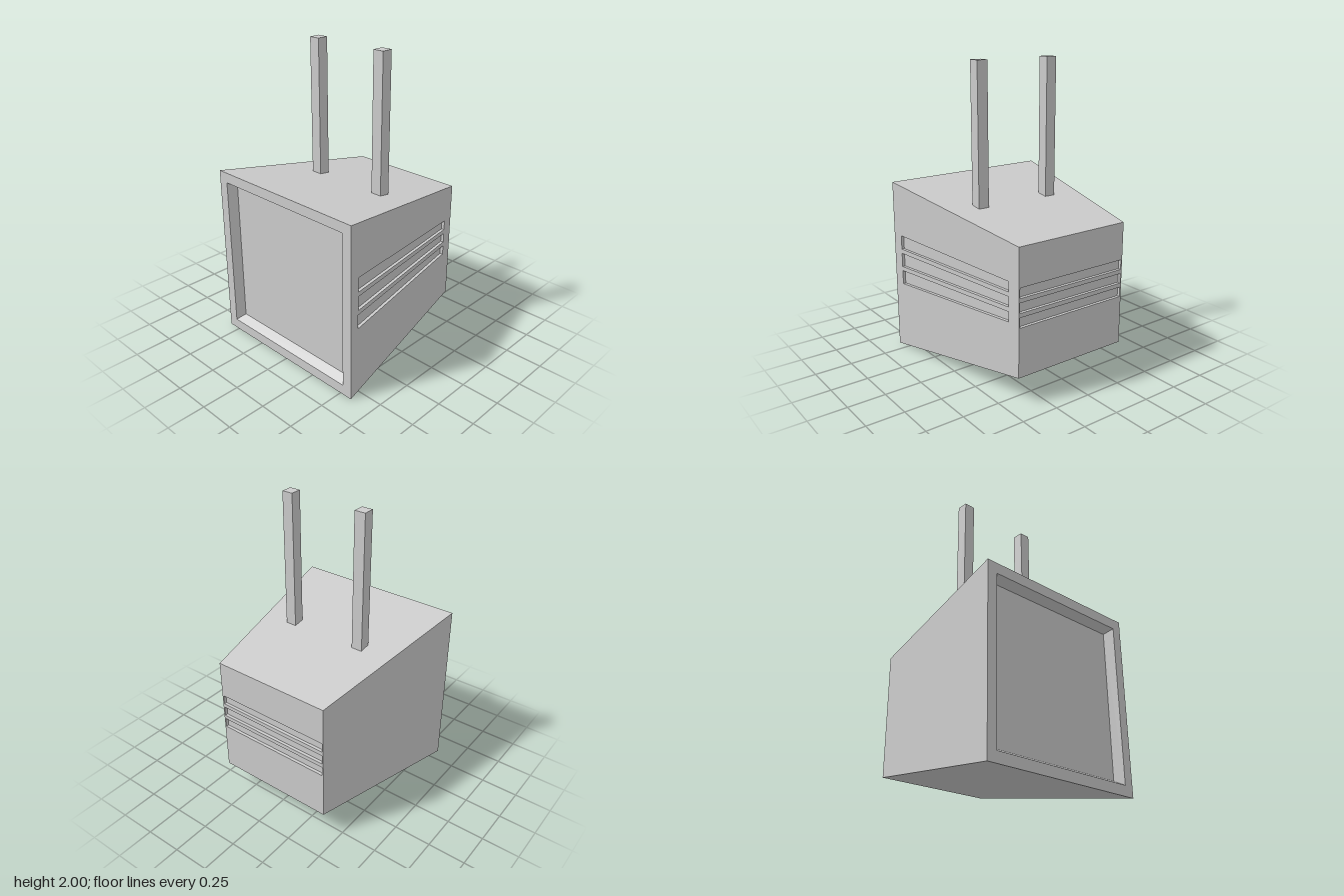
import * as THREE from 'three';
import { mergeGeometries } from 'three/addons/utils/BufferGeometryUtils.js';

const V = (x, y, z) => new THREE.Vector3(x, y, z);
const F = 0.588, B = 0.412;            // half widths of the front and back ends
const MID = 0.588;                     // height of the body's centre line
const sideX = z => (F + B) / 2 + (z / F) * (F - B) / 2;

// Four-cornered face, corners counter-clockwise seen from outside
function quad(a, b, c, d) {
  const g = new THREE.BufferGeometry().setFromPoints([a, b, c, a, c, d]);
  g.computeVertexNormals();
  return g;
}

// Flat panel with sunken pockets; each pocket has corners, a depth and an inward taper
function panel(corners, pockets = []) {
  const [o, p1, , p3] = corners;
  const u = p1.clone().sub(o).normalize();
  const n = u.clone().cross(p3.clone().sub(o)).normalize();
  const v = n.clone().cross(u);
  const flat = p => {
    const r = p.clone().sub(o);
    return new THREE.Vector2(r.dot(u), r.dot(v));
  };
  const shape = new THREE.Shape(corners.map(flat));
  const parts = [];
  for (const { rim, depth, taper = 0 } of pockets) {
    shape.holes.push(new THREE.Path(rim.map(flat)));
    const shift = [[1, 1], [-1, 1], [-1, -1], [1, -1]];
    const floor = rim.map((p, i) => p.clone().addScaledVector(n, -depth)
      .addScaledVector(u, shift[i][0] * taper).addScaledVector(v, shift[i][1] * taper));
    parts.push(quad(...floor));
    for (let i = 0; i < 4; i++) {
      const j = (i + 1) % 4;
      parts.push(quad(rim[i], rim[j], floor[j], floor[i]));
    }
  }
  const face = new THREE.ShapeGeometry(shape).toNonIndexed();
  face.deleteAttribute('uv');
  face.applyMatrix4(new THREE.Matrix4().makeBasis(u, v, n).setPosition(o));
  return mergeGeometries([face, ...parts]);
}

export function createModel() {
  const model = new THREE.Group();
  model.name = 'boxWithPosts';
  const grey = new THREE.MeshStandardMaterial({ color: 0xcccccc });
  grey.name = 'plain grey';
  const add = (name, geometry) => {
    const mesh = new THREE.Mesh(geometry, grey);
    mesh.name = name;
    model.add(mesh);
    return mesh;
  };

  // Corners of the tapered body
  const corner = (sx, sy, front) => {
    const h = front ? F : B;
    return V(sx * h, MID + sy * h, front ? F : -F);
  };
  const f = [[-1, -1], [1, -1], [1, 1], [-1, 1]].map(([x, y]) => corner(x, y, true));
  const b = [[-1, -1], [1, -1], [1, 1], [-1, 1]].map(([x, y]) => corner(x, y, false));

  // Front with its sunken screen
  const r = 0.52;
  const screenRim = [V(-r, MID - r, F), V(r, MID - r, F), V(r, MID + r, F), V(-r, MID + r, F)];
  add('screenFront', panel(f, [{ rim: screenRim, depth: 0.06, taper: 0.03 }]));

  // Vent slots on one side (narrowing to the back) and on the back
  const sideVents = [], backVents = [];
  const z0 = 0.515, z1 = -0.505, w = 0.402;
  for (let i = -1; i <= 1; i++) {
    const y0 = 0.6425 + i * 0.125, y1 = 0.6425 + i * 0.095;
    const h0 = 0.0475, h1 = 0.0325;
    sideVents.push({
      depth: 0.02,
      rim: [V(sideX(z0), y0 - h0, z0), V(sideX(z1), y1 - h1, z1),
        V(sideX(z1), y1 + h1, z1), V(sideX(z0), y0 + h0, z0)],
    });
    const y = 0.625 + i * 0.093;
    backVents.push({
      depth: 0.02,
      rim: [V(w, y - h1, -F), V(-w, y - h1, -F), V(-w, y + h1, -F), V(w, y + h1, -F)],
    });
  }
  add('ventedSide', panel([f[1], b[1], b[2], f[2]], sideVents));
  add('ventedBack', panel([b[1], b[0], b[3], b[2]], backVents));

  // Plain faces
  add('plainSide', panel([b[0], f[0], f[3], b[3]]));
  add('topFace', panel([f[3], f[2], b[2], b[3]]));
  add('bottomFace', panel([b[0], b[1], f[1], f[0]]));

  // Two square posts on top
  for (const [name, x] of [['rightPost', -0.259], ['leftPost', 0.275]]) {
    add(name, new THREE.BoxGeometry(0.075, 0.95, 0.075)).position.set(x, 1.525, -0.002);
  }
  return model;
}
